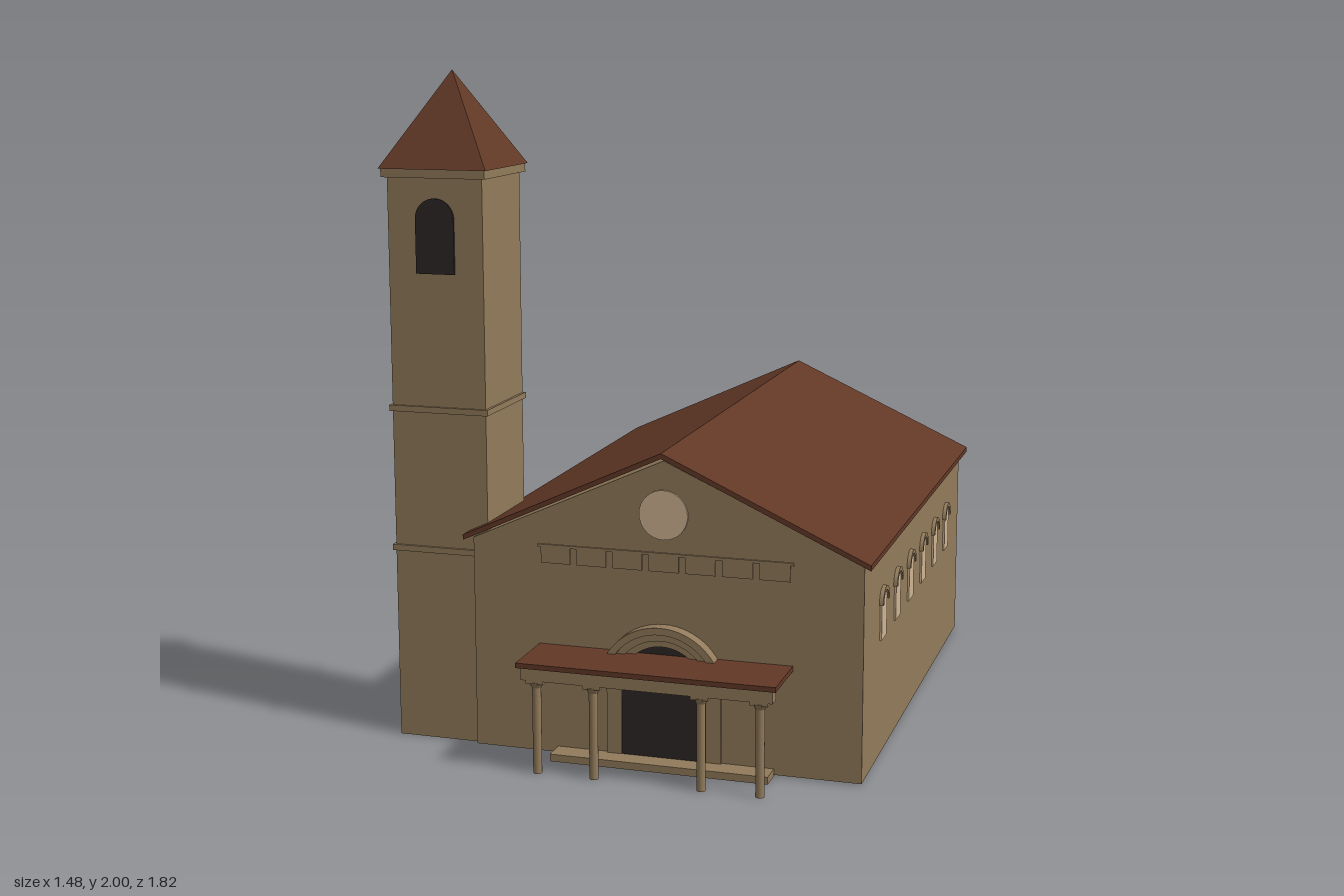
import * as THREE from 'three';

export function createModel() {
  const model = new THREE.Group();
  model.name = 'church';
  const mat = (name, color) => {
    const m = new THREE.MeshStandardMaterial({ color });
    m.name = name;
    return m;
  };
  const stone = mat('sandstone', 0x927b5b);
  const tile = mat('brown roof tile', 0x623826);
  const dark = mat('dark opening', 0x2e2626);
  const pale = mat('pale glass', 0xd0b593);

  const CX = 0.1275;                 // nave axis
  const FRONT = 0.715, BACK = -0.885; // nave end walls
  const HALF = 0.5875;               // half nave width

  const add = (name, geo, material, x = 0, y = 0, z = 0, ry = 0) => {
    const m = new THREE.Mesh(geo, material);
    m.name = name;
    m.position.set(x, y, z);
    m.rotation.y = ry;
    model.add(m);
    return m;
  };
  // Box given by its limits on each axis
  const box = (name, material, x0, x1, y0, y1, z0, z1) =>
    add(name, new THREE.BoxGeometry(x1 - x0, y1 - y0, z1 - z0), material,
      (x0 + x1) / 2, (y0 + y1) / 2, (z0 + z1) / 2);
  const extrude = (shape, depth) =>
    new THREE.ExtrudeGeometry(shape, { depth, bevelEnabled: false, curveSegments: 16 });
  const polygon = pts => new THREE.Shape(pts.map(p => new THREE.Vector2(p[0], p[1])));
  // Round-headed opening standing on its origin
  const archPlate = (w, h, depth = 0.006) => {
    const s = new THREE.Shape(), r = w / 2;
    s.moveTo(-r, 0);
    s.lineTo(r, 0);
    s.lineTo(r, h - r);
    s.absarc(0, h - r, r, 0, Math.PI, false);
    s.closePath();
    return extrude(s, depth);
  };
  // Half ring moulding
  const archRing = (r0, r1, depth) => {
    const s = new THREE.Shape();
    s.absarc(0, 0, r1, 0, Math.PI, false);
    s.absarc(0, 0, r0, Math.PI, 0, true);
    s.closePath();
    return extrude(s, depth);
  };

  // Nave with gabled ends, floor underneath
  add('naveWalls', extrude(polygon([
    [-HALF, 0.004], [HALF, 0.004], [HALF, 0.642], [0, 0.908], [-HALF, 0.642],
  ]), FRONT - BACK), stone, CX, 0, BACK);
  box('floor', tile, CX - 0.555, CX + 0.555, 0, 0.01, BACK + 0.03, FRONT - 0.03);

  // Overhanging gable roof
  add('naveRoof', extrude(polygon([
    [-0.611, 0.638], [0, 0.919], [0.611, 0.638], [0.611, 0.654], [0, 0.935], [-0.611, 0.654],
  ]), 1.652), tile, CX, 0, -0.911);

  // Side windows: six with hoods on the left, four plain on the right
  for (let i = 0; i < 6; i++) {
    const z = 0.45 - i * 0.214;
    add('leftWindow', archPlate(0.072, 0.145), pale, CX + HALF, 0.36, z, Math.PI / 2);
    add('leftWindowHood', archRing(0.036, 0.049, 0.012), stone, CX + HALF, 0.469, z, Math.PI / 2);
  }
  for (let i = 0; i < 4; i++)
    add('rightWindow', archPlate(0.072, 0.145), pale, CX - HALF, 0.36, -0.62 + i * 0.288, -Math.PI / 2);

  // Round window and the block frieze on the facade
  const rose = new THREE.CylinderGeometry(0.073, 0.073, 0.006, 32).rotateX(Math.PI / 2);
  add('roundWindow', rose, pale, CX, 0.75, FRONT + 0.003);
  box('friezeTop', stone, CX - 0.385, CX + 0.385, 0.63, 0.638, FRONT, FRONT + 0.006);
  for (let i = 0; i < 7; i++) {
    const x = CX + (i - 3) * 0.11;
    box('friezeBlock', stone, x - 0.045, x + 0.045, 0.582, 0.632, FRONT, FRONT + 0.005);
  }

  // Doors at both ends
  add('frontDoor', archPlate(0.256, 0.363), dark, CX, 0, FRONT);
  add('backDoor', archPlate(0.256, 0.363), dark, CX, 0, BACK, Math.PI);

  // Stepped portal arch over the front door
  [[0.128, 0.148, 0.02], [0.148, 0.169, 0.03], [0.169, 0.19, 0.04]].forEach(([r0, r1, d]) =>
    add('portalArch', archRing(r0, r1, d), stone, CX, 0.235, FRONT));
  for (const s of [-1, 1])
    add('doorJamb', new THREE.BoxGeometry(0.045, 0.235, 0.008), stone, CX + s * 0.151, 0.1175, FRONT + 0.004);
  box('doorStep', stone, CX - 0.33, CX + 0.33, 0, 0.022, FRONT - 0.01, 0.785);

  // Porch: roof slab, beam and four columns
  box('porchRoof', tile, CX - 0.384, CX + 0.384, 0.32, 0.335, FRONT - 0.01, 0.913);
  box('porchBeam', stone, CX - 0.372, CX + 0.372, 0.282, 0.32, 0.86, 0.902);
  for (const dx of [-0.332, -0.16, 0.16, 0.332]) {
    const x = CX + dx;
    add('porchColumn', new THREE.CylinderGeometry(0.013, 0.013, 0.262, 16), stone, x, 0.131, 0.88);
    add('columnCapital', new THREE.CylinderGeometry(0.024, 0.014, 0.018, 16), stone, x, 0.267, 0.88);
    add('columnAbacus', new THREE.BoxGeometry(0.052, 0.012, 0.042), stone, x, 0.278, 0.88);
  }

  // Bell tower with string courses, cornice and pyramid roof
  const TX = -0.5725, TZ = 0.542, TH = 0.148;
  const square = (name, half, y0, y1) =>
    box(name, stone, TX - half, TX + half, y0, y1, TZ - half, TZ + half);
  square('towerShaft', TH, 0, 1.7);
  square('lowerStringCourse', TH + 0.008, 0.578, 0.596);
  square('upperStringCourse', TH + 0.008, 1.003, 1.021);
  square('towerCornice', TH + 0.014, 1.694, 1.719);
  const pyramid = new THREE.ConeGeometry(0.168 * Math.SQRT2, 0.281, 4, 1, false, Math.PI / 4).toNonIndexed();
  pyramid.computeVertexNormals();
  add('towerRoof', pyramid, tile, TX, 1.719 + 0.1405, TZ);
  add('frontBelfryOpening', archPlate(0.12, 0.22), dark, TX, 1.415, TZ + TH);
  add('backBelfryOpening', archPlate(0.12, 0.22), dark, TX, 1.415, TZ - TH, Math.PI);

  return model;
}
